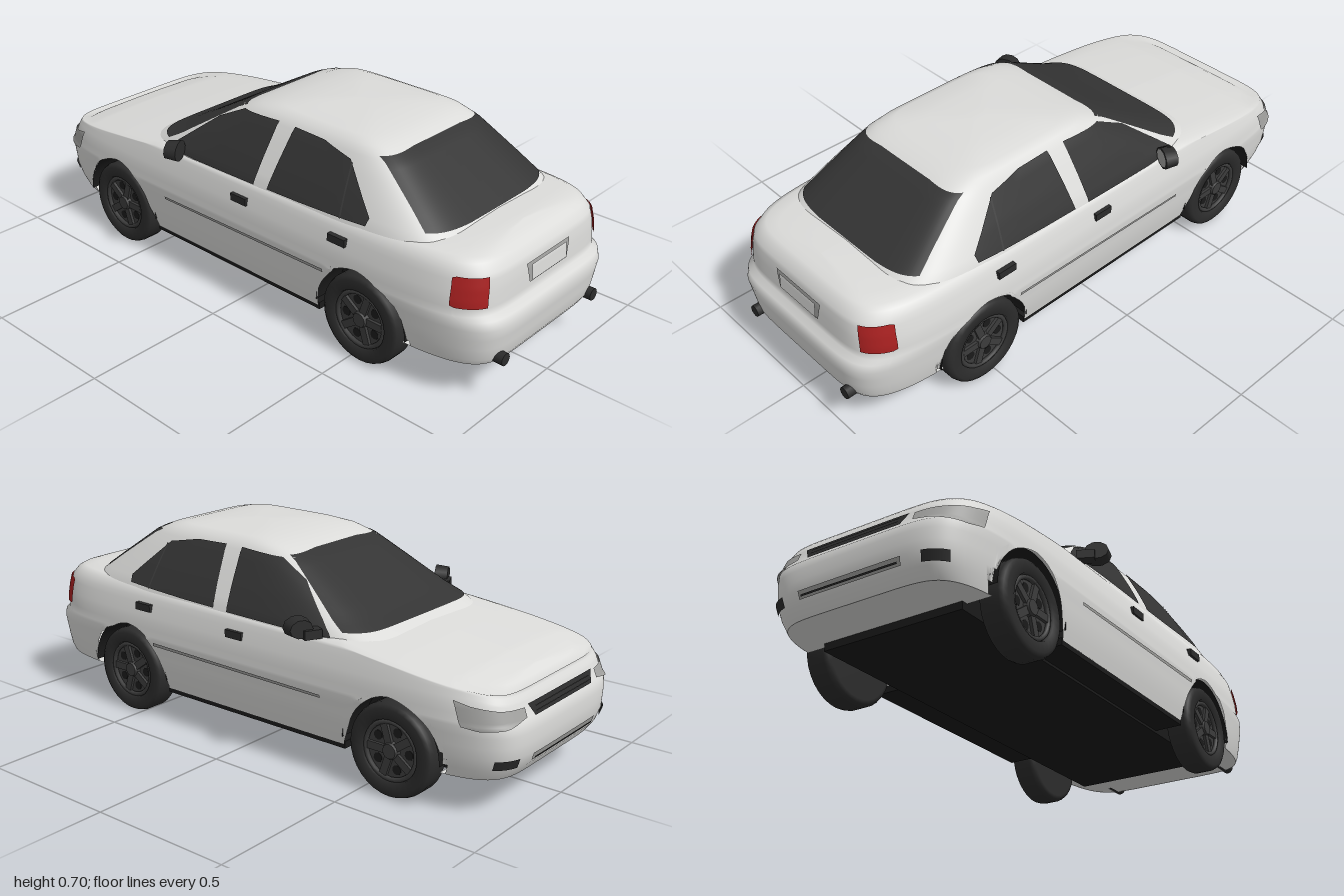
import * as THREE from 'three';

const mat = (name, color) => new THREE.MeshStandardMaterial({ name, color, side: THREE.DoubleSide });
const paint = mat('silver white paint', 0xdcdcda);
const glass = mat('dark glass', 0x343434);
const rubber = mat('tyre rubber', 0x2c2c2c);
const metal = mat('dark wheel metal', 0x3c3c3c);
const black = mat('black underbody', 0x1a1a1a);
const red = mat('red lamp', 0xa82020);
const grey = mat('grey trim', 0xa2a2a0);

// Piecewise linear lookup in a list of [key, value, value...]
function lookup(table, k) {
  if (k <= table[0][0]) return table[0];
  for (let i = 1; i < table.length; i++) {
    if (k <= table[i][0]) {
      const a = table[i - 1], b = table[i], t = (k - a[0]) / (b[0] - a[0]);
      return a.map((v, j) => v + (b[j] - v) * t);
    }
  }
  return table[table.length - 1];
}

// Plan outlines by height: [y, nose x, tail x, half width]
const BODY = { n: 7, rows: [
  [0.125, -0.96, 0.965, 0.362], [0.16, -0.985, 0.985, 0.37], [0.2, -0.998, 0.99, 0.378],
  [0.27, -1, 1, 0.386], [0.3, -0.995, 0.99, 0.39], [0.31, -0.985, 0.968, 0.389],
  [0.36, -0.965, 0.965, 0.386], [0.4, -0.94, 0.962, 0.378], [0.44, -0.9, 0.955, 0.368],
  [0.47, -0.86, 0.93, 0.355]] };
const CABIN = { n: 6, rows: [
  [0.43, -0.56, 0.86, 0.368], [0.475, -0.47, 0.8, 0.355], [0.5, -0.41, 0.765, 0.343],
  [0.55, -0.315, 0.695, 0.318], [0.6, -0.225, 0.625, 0.29], [0.65, -0.135, 0.555, 0.262],
  [0.675, -0.06, 0.5, 0.24], [0.688, 0.02, 0.44, 0.21], [0.696, 0.1, 0.35, 0.12],
  [0.698, 0.2, 0.25, 0]] };
const SHOULDER = [[-0.96, 0.35], [-0.9, 0.375], [-0.8, 0.398], [-0.6, 0.425], [-0.4, 0.448],
  [0, 0.455], [0.6, 0.468], [0.85, 0.468], [1, 0.462]];
const AXLES = [-0.61, 0.54];

// Surface point; s runs 0 (nose) - 1 (corner) - 3 (corner) - 4 (tail), negative for -z
function at(hull, s, y, off = 0) {
  const [, xf, xr, w] = lookup(hull.rows, y), t = Math.abs(s), n = hull.n;
  const p = t < 1 ? -1 : t < 3 ? t - 2 : 1;
  const q = t < 1 ? t : t < 3 ? 1 : 4 - t;
  const r = (Math.abs(p) ** n + q ** n) ** (1 / n);
  return [(xf + xr) / 2 + ((xr - xf) / 2 + off) * p / r, y, Math.sign(s) * (w + off) * q / r];
}
const onHull = (hull, off) => (s, y) => at(hull, s, y, off);
// Surface point on the side from x
const onSide = (hull, sign, off) => (x, y) => {
  const [, xf, xr, w] = lookup(hull.rows, y);
  const X = Math.min(0.999, Math.abs((x - (xf + xr) / 2) / ((xr - xf) / 2)));
  return [x, y, sign * ((w + off) * (1 - X ** hull.n) ** (1 / hull.n))];
};
// Surface point on the nose (-1) or tail (1) from z
const onEnd = (hull, dir, off) => (z, y) => {
  const [, xf, xr, w] = lookup(hull.rows, y), Z = Math.min(0.999, Math.abs(z / w));
  return [(xf + xr) / 2 + dir * ((xr - xf) / 2 * (1 - Z ** hull.n) ** (1 / hull.n) + off), y, z];
};

// Skin over rows of points
function grid(rows, closed = false) {
  const n = rows[0].length, idx = [];
  for (let j = 0; j < rows.length - 1; j++) {
    for (let i = 0; i < (closed ? n : n - 1); i++) {
      const k = (i + 1) % n, a = j * n + i, b = j * n + k, c = a + n, d = b + n;
      idx.push(a, c, b, b, c, d);
    }
  }
  const g = new THREE.BufferGeometry();
  g.setAttribute('position', new THREE.Float32BufferAttribute(rows.flat(2), 3));
  g.setIndex(idx);
  g.computeVertexNormals();
  return g;
}

// Thin panel on a surface between a lower and an upper polyline
function panel(place, low, high, nu = 36, nv = 12) {
  const key = pts => pts.map((p, i) => [i / (pts.length - 1), ...p]);
  const A = key(low), B = key(high), rows = [];
  for (let j = 0; j <= nv; j++) {
    const row = [];
    for (let i = 0; i <= nu; i++) {
      const a = lookup(A, i / nu), b = lookup(B, i / nu), v = j / nv;
      row.push(place(a[1] + (b[1] - a[1]) * v, a[2] + (b[2] - a[2]) * v));
    }
    rows.push(row);
  }
  return grid(rows);
}

export function createModel() {
  const car = new THREE.Group();
  car.name = 'saloonCar';
  const add = (name, geo, material, x = 0, y = 0, z = 0, parent = car) => {
    const m = new THREE.Mesh(geo, material);
    m.name = name;
    m.position.set(x, y, z);
    parent.add(m);
    return m;
  };

  // Stations round the outline
  const loop = [];
  for (let i = 0; i < 48; i++) loop.push(i / 48);
  for (let i = 0; i < 180; i++) loop.push(1 + i / 90);
  for (let i = 0; i < 48; i++) loop.push(3 + i / 48);
  const ring = [...loop, ...loop.map(s => s - 4).map(s => (s === -4 ? 4 : s))];

  // Lower body, cut by the wheel arches, closed by bonnet and boot deck
  const bottom = x => AXLES.reduce((y, c) => {
    const d = 0.18 ** 2 - (x - c) ** 2;
    return d > 0 ? Math.max(y, 0.155 + Math.sqrt(d)) : y;
  }, x > 0.6 ? 0.14 : 0.125);
  const shoulder = x => lookup(SHOULDER, x)[1];
  const levels = [0.125, 0.16, 0.2, 0.235, 0.27, 0.3, 0.31, 0.335, 0.36, 0.38, 0.4, 0.42, 0.44, 0.5];
  const rows = levels.map(y => ring.map(s => {
    const x = at(BODY, s, y)[0];
    return at(BODY, s, Math.min(Math.max(y, bottom(x)), shoulder(x)));
  }));
  const rim = rows[rows.length - 1];
  for (const [kx, kz, dy] of [[0.985, 0.94, 0.01], [0.96, 0.8, 0.017], [0.94, 0.4, 0.022], [0.93, 0, 0.024]]) {
    rows.push(rim.map(([x, y, z]) => [x * kx, shoulder(x * kx) + dy, z * kz]));
  }
  add('body', grid(rows, true), paint);
  add('cabin', grid(CABIN.rows.map(r => ring.map(s => at(CABIN, s, r[0]))), true), paint);

  // Floors
  const floor = y => (s, k) => { const p = at(BODY, s, y); return [p[0], p[1], p[2] * k]; };
  add('frontFloor', panel(floor(0.126), [[0, -1], [1, -1], [1.16, -1]], [[0, 1], [1, 1], [1.16, 1]]), paint);
  add('rearFloor', panel(floor(0.141), [[2.73, -1], [3, -1], [4, -1]], [[2.73, 1], [3, 1], [4, 1]]), paint);
  add('underbody', new THREE.BoxGeometry(1.53, 0.2, 0.52), black, -0.035, 0.2, 0);
  add('middleFloor', new THREE.BoxGeometry(0.79, 0.025, 0.72), black, -0.035, 0.122, 0);

  // Windscreen and rear window
  const screen = (z0, y0, z1, y1, c) => [
    [[-z0, y0], [-z0 / 2, y0 + c], [z0 / 2, y0 + c], [z0, y0]],
    [[-z1, y1 - 0.006], [-z1 / 2, y1], [z1 / 2, y1], [z1, y1 - 0.006]]];
  add('windscreen', panel(onEnd(CABIN, -1, 0.005), ...screen(0.325, 0.475, 0.225, 0.662, 0.002)), glass);
  add('rearWindow', panel(onEnd(CABIN, 1, 0.005), ...screen(0.295, 0.5, 0.237, 0.664, -0.004)), glass);

  // Grille, intake and number plate
  add('grille', panel(onHull(BODY, 0.005), [[-0.44, 0.31], [0.44, 0.31]], [[-0.5, 0.348], [0.5, 0.348]]), rubber);
  for (const y of [0.321, 0.334]) {
    add('grilleBar', panel(onHull(BODY, 0.008), [[-0.42, y], [0.42, y]], [[-0.42, y + 0.003], [0.42, y + 0.003]]), metal);
  }
  add('lowerIntake', panel(onHull(BODY, 0.004), [[-0.5, 0.172], [0.5, 0.172]], [[-0.5, 0.198], [0.5, 0.198]]), grey);
  add('lowerIntakeSlot', panel(onHull(BODY, 0.007), [[-0.47, 0.178], [0.47, 0.178]], [[-0.47, 0.184], [0.47, 0.184]]), rubber);
  add('plateFrame', panel(onEnd(BODY, 1, 0.004), [[-0.1, 0.35], [0.1, 0.35]], [[-0.115, 0.415], [0.115, 0.415]]), grey);
  add('plate', panel(onEnd(BODY, 1, 0.008), [[-0.093, 0.355], [0.093, 0.355]], [[-0.093, 0.408], [0.093, 0.408]]), paint);

  for (const side of [1, -1]) {
    const wrap = pts => pts.map(([s, y]) => [s * side, y]);
    const door = onSide(CABIN, side, 0.005), flank = onSide(BODY, side, 0.004);
    // Side windows
    add('frontDoorWindow', panel(door,
      [[-0.36, 0.458], [-0.22, 0.458], [-0.08, 0.46], [0.07, 0.462]],
      [[-0.35, 0.47], [-0.19, 0.597], [-0.08, 0.651], [0.09, 0.66]]), glass);
    add('rearDoorWindow', panel(door,
      [[0.13, 0.465], [0.27, 0.468], [0.42, 0.474], [0.54, 0.48]],
      [[0.16, 0.66], [0.29, 0.657], [0.41, 0.634], [0.545, 0.505]]), glass);
    add('quarterPillar', panel(onSide(CABIN, side, 0.008),
      [[0.44, 0.475], [0.446, 0.475]], [[0.418, 0.628], [0.424, 0.628]]), metal);
    // Lamps
    add('headlamp', panel(onHull(BODY, 0.005),
      wrap([[0.55, 0.315], [0.8, 0.298], [1.0, 0.293], [1.09, 0.3]]),
      wrap([[0.55, 0.343], [0.8, 0.349], [1.0, 0.362], [1.09, 0.374]])), grey);
    add('fogLamp', panel(onHull(BODY, 0.005), wrap([[0.68, 0.168], [0.9, 0.168]]), wrap([[0.68, 0.2], [0.9, 0.2]])), rubber);
    add('tailLamp', panel(onHull(BODY, 0.005),
      wrap([[2.972, 0.345], [3, 0.34], [3.25, 0.34]]), wrap([[2.972, 0.43], [3, 0.435], [3.25, 0.435]])), red);
    // Side moulding and handles
    add('sideMoulding', panel(flank, [[-0.35, 0.27], [0.4, 0.279]], [[-0.35, 0.28], [0.4, 0.291]]), grey);
    for (const [x, y] of [[0.02, 0.398], [0.45, 0.41]]) {
      add('doorHandle', new THREE.BoxGeometry(0.07, 0.026, 0.02), rubber, x, y, side * 0.378);
    }
    // Door mirror
    const mirror = new THREE.Group();
    mirror.name = 'doorMirror';
    mirror.position.set(-0.275, 0.487, side * 0.4);
    mirror.rotation.y = side * 0.45;
    car.add(mirror);
    const shell = add('mirrorShell', new THREE.CylinderGeometry(0.036, 0.042, 0.045, 10), rubber, 0, 0, 0, mirror);
    shell.rotation.z = Math.PI / 2;
    shell.scale.set(0.85, 1, 1.1);
    add('mirrorArm', new THREE.BoxGeometry(0.04, 0.03, 0.06), rubber, -0.015, -0.018, -side * 0.035, mirror);
    if (side < 0) {
      const face = add('mirrorGlass', new THREE.CircleGeometry(0.034, 10), grey, 0.024, 0, 0, mirror);
      face.rotation.y = Math.PI / 2;
      face.scale.set(1.1, 0.85, 1);
    }
    // Exhaust
    const pipe = add('exhaust', new THREE.CylinderGeometry(0.021, 0.021, 0.09, 12), rubber, 0.955, 0.16, side * 0.245);
    pipe.rotation.z = Math.PI / 2;

    // Wheels and arch liners
    for (const x of AXLES) {
      const liner = add('archLiner', new THREE.CylinderGeometry(0.181, 0.181, 0.13, 32, 1, true, Math.PI / 2, Math.PI),
        black, x, 0.155, side * 0.31);
      liner.rotation.x = Math.PI / 2;
      const wheel = new THREE.Group();
      wheel.name = 'wheel';
      wheel.position.set(x, 0.155, side * 0.332);
      wheel.rotation.x = side * Math.PI / 2;
      car.add(wheel);
      const profile = [[0.1, 0.03], [0.104, 0.046], [0.138, 0.048], [0.15, 0.04], [0.155, 0.025], [0.155, -0.03],
        [0.148, -0.044], [0.135, -0.048], [0.02, -0.048]].map(p => new THREE.Vector2(...p));
      add('tyre', new THREE.LatheGeometry(profile, 32), rubber, 0, 0, 0, wheel);
      add('rimDish', new THREE.CylinderGeometry(0.102, 0.09, 0.04, 28), metal, 0, 0.008, 0, wheel);
      const ringMesh = add('rimRing', new THREE.TorusGeometry(0.094, 0.008, 8, 28), metal, 0, 0.034, 0, wheel);
      ringMesh.rotation.x = Math.PI / 2;
      add('hub', new THREE.CylinderGeometry(0.024, 0.032, 0.018, 12), metal, 0, 0.036, 0, wheel);
      for (let i = 0; i < 5; i++) {
        const a = i / 5 * Math.PI * 2;
        const spoke = add('spoke', new THREE.BoxGeometry(0.07, 0.012, 0.026), metal,
          Math.cos(a) * 0.058, 0.032, -Math.sin(a) * 0.058, wheel);
        spoke.rotation.y = a;
        const gap = a + Math.PI / 5;
        add('rimOpening', new THREE.CylinderGeometry(0.016, 0.016, 0.002, 10), black,
          Math.cos(gap) * 0.064, 0.0285, -Math.sin(gap) * 0.064, wheel);
      }
    }
  }
  return car;
}
